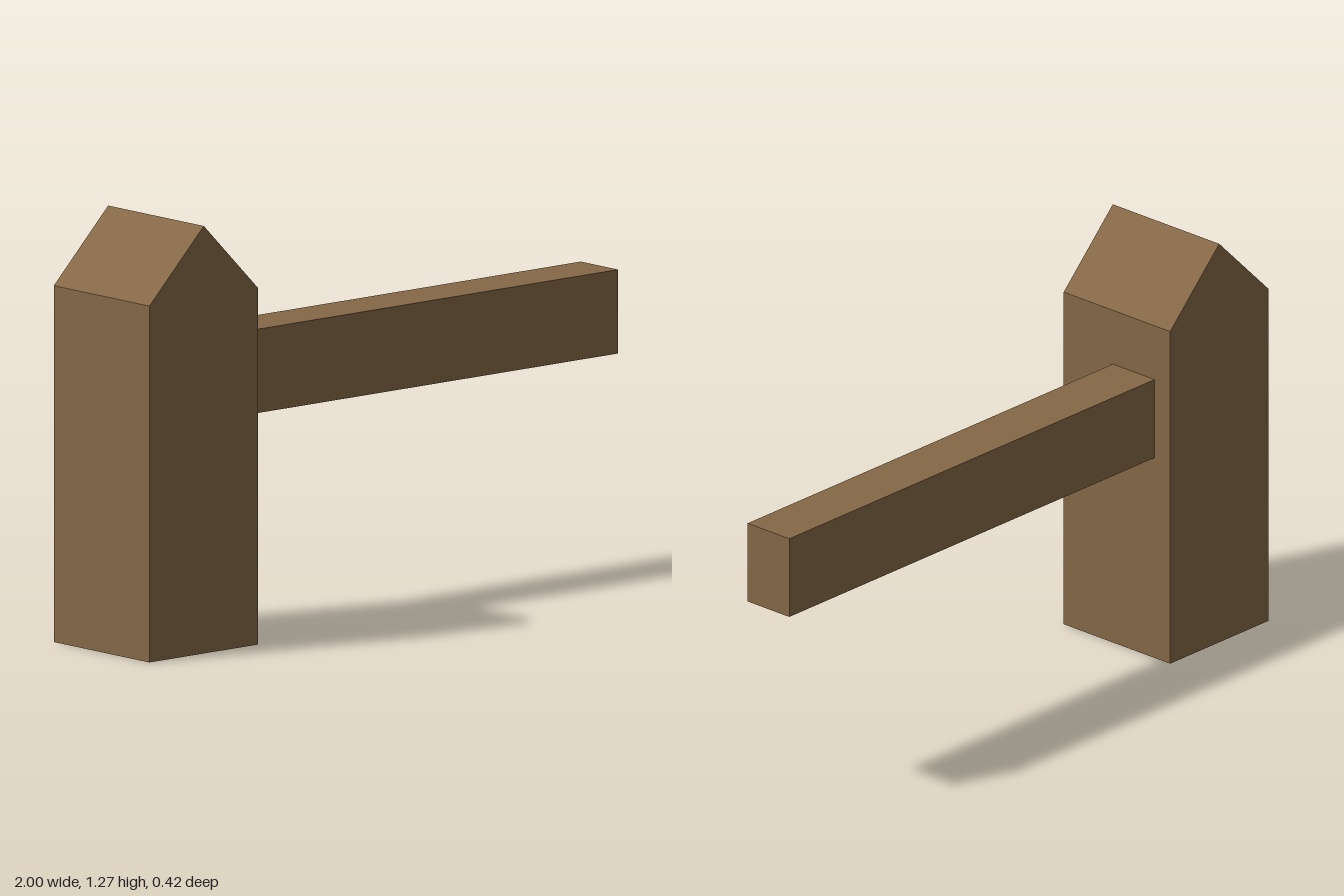
import * as THREE from 'three';

export function createModel() {
  const model = new THREE.Group();
  const wood = new THREE.MeshStandardMaterial({ color: 0x856846, flatShading: true });

  // Square post with a gabled top, extruded front to back
  const left = -1, right = -0.576, depth = 0.424;
  const profile = new THREE.Shape([
    new THREE.Vector2(left, 0),
    new THREE.Vector2(right, 0),
    new THREE.Vector2(right, 1.062),
    new THREE.Vector2((left + right) / 2, 1.274),
    new THREE.Vector2(left, 1.062),
  ]);
  const postGeometry = new THREE.ExtrudeGeometry(profile, { depth, bevelEnabled: false });
  postGeometry.translate(0, 0, -depth / 2);
  const post = new THREE.Mesh(postGeometry, wood);
  post.name = 'post';
  model.add(post);

  // Horizontal rail, set towards the back of the post
  const rail = new THREE.Mesh(new THREE.BoxGeometry(1 - right, 0.25, 0.166), wood);
  rail.name = 'rail';
  rail.position.set((1 + right) / 2, 0.765, -0.067);
  model.add(rail);

  return model;
}
